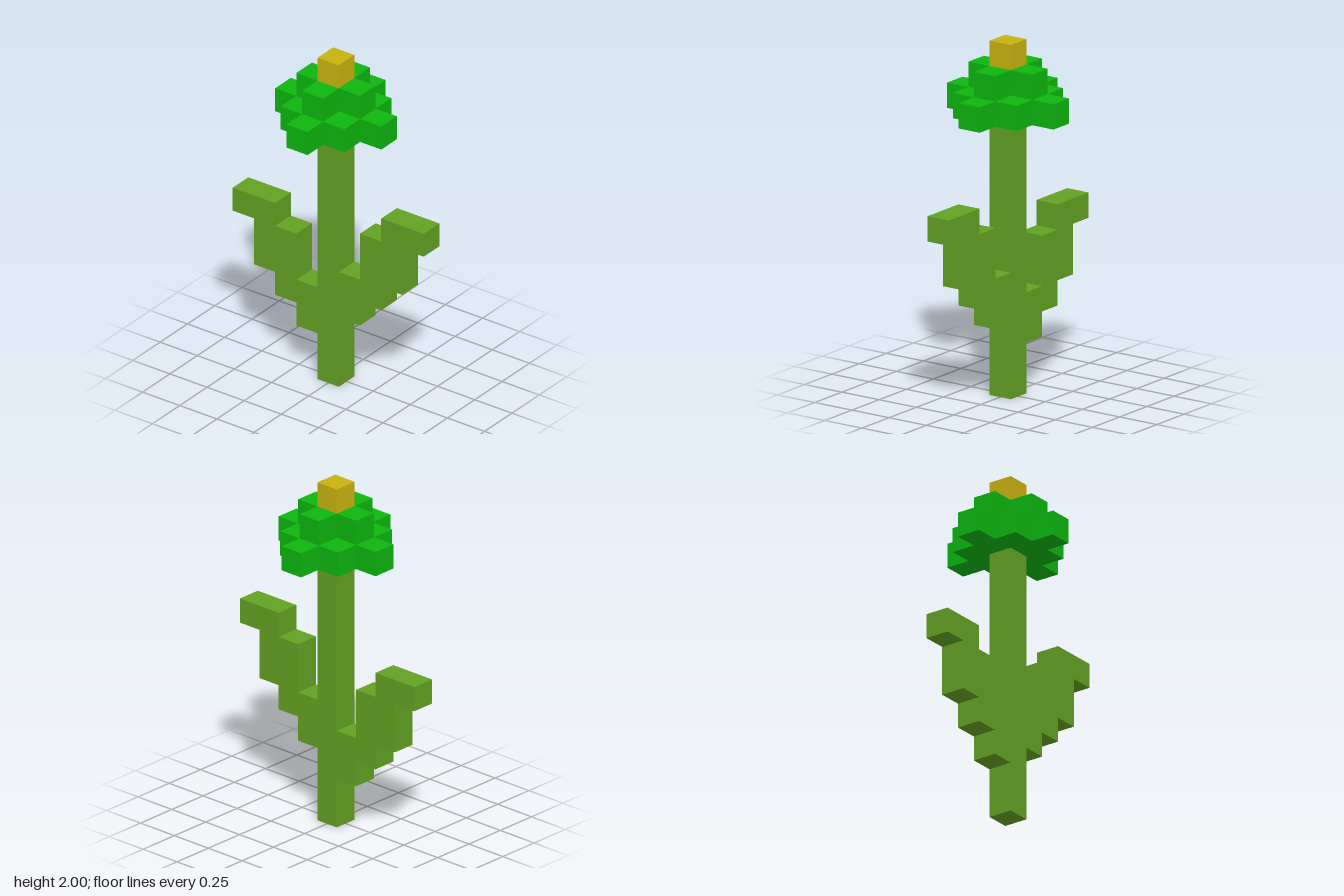
import * as THREE from 'three';

const U = 1 / 7; // one block

const material = (name, color) => {
  const m = new THREE.MeshStandardMaterial({ color });
  m.name = name;
  return m;
};

// Extrude an outline given in blocks, starting at the given depth
function slab(points, thickness, start) {
  const shape = new THREE.Shape(points.map(([x, y]) => new THREE.Vector2(x * U, y * U)));
  const geo = new THREE.ExtrudeGeometry(shape, { depth: thickness * U, bevelEnabled: false });
  return geo.translate(0, 0, start * U);
}

// Repeat a quarter outline around the centre
function fourfold(quarter) {
  const points = [];
  for (let i = 0, q = quarter; i < 4; i++) {
    points.push(...q);
    q = q.map(([x, y]) => [-y, x]);
  }
  return points;
}

export function createModel() {
  const group = new THREE.Group();
  group.name = 'blockFlower';
  const stemGreen = material('stemGreen', 0x62a122);
  const petalGreen = material('petalGreen', 0x0db50f);
  const budYellow = material('budYellow', 0xc7b20e);

  const add = (name, geo, mat) => {
    const mesh = new THREE.Mesh(geo, mat);
    mesh.name = name;
    group.add(mesh);
    return mesh;
  };

  // Stem
  add('stem', new THREE.BoxGeometry(U, 11 * U, U).translate(0, 5.5 * U, 0), stemGreen);

  // Stepped leaves: same outline front and back, the back one a block lower
  const leaf = [
    [0.5, 3], [1.5, 3], [1.5, 4], [2.5, 4], [2.5, 5], [3.5, 5], [3.5, 7],
    [4.5, 7], [4.5, 8], [2.5, 8], [2.5, 7], [1.5, 7], [1.5, 5], [0.5, 5],
  ];
  add('frontLeaf', slab(leaf, 1, -0.5).rotateY(-Math.PI / 2), stemGreen);
  add('backLeaf', slab(leaf, 1, -0.5).rotateY(Math.PI / 2).translate(0, -U, 0), stemGreen);

  // Flower head: wide star layer, then a smaller cross
  const star = fourfold([[2.5, 0.5], [1.5, 0.5], [1.5, 1.5], [0.5, 1.5], [0.5, 2.5]]);
  const cross = fourfold([[1.5, 0.5], [0.5, 0.5], [0.5, 1.5]]);
  add('lowerPetals', slab(star, 1, 11).rotateX(-Math.PI / 2), petalGreen);
  add('upperPetals', slab(cross, 1, 12).rotateX(-Math.PI / 2), petalGreen);

  // Bud on top
  add('bud', new THREE.BoxGeometry(U, U, U).translate(0, 13.5 * U, 0), budYellow);

  return group;
}
